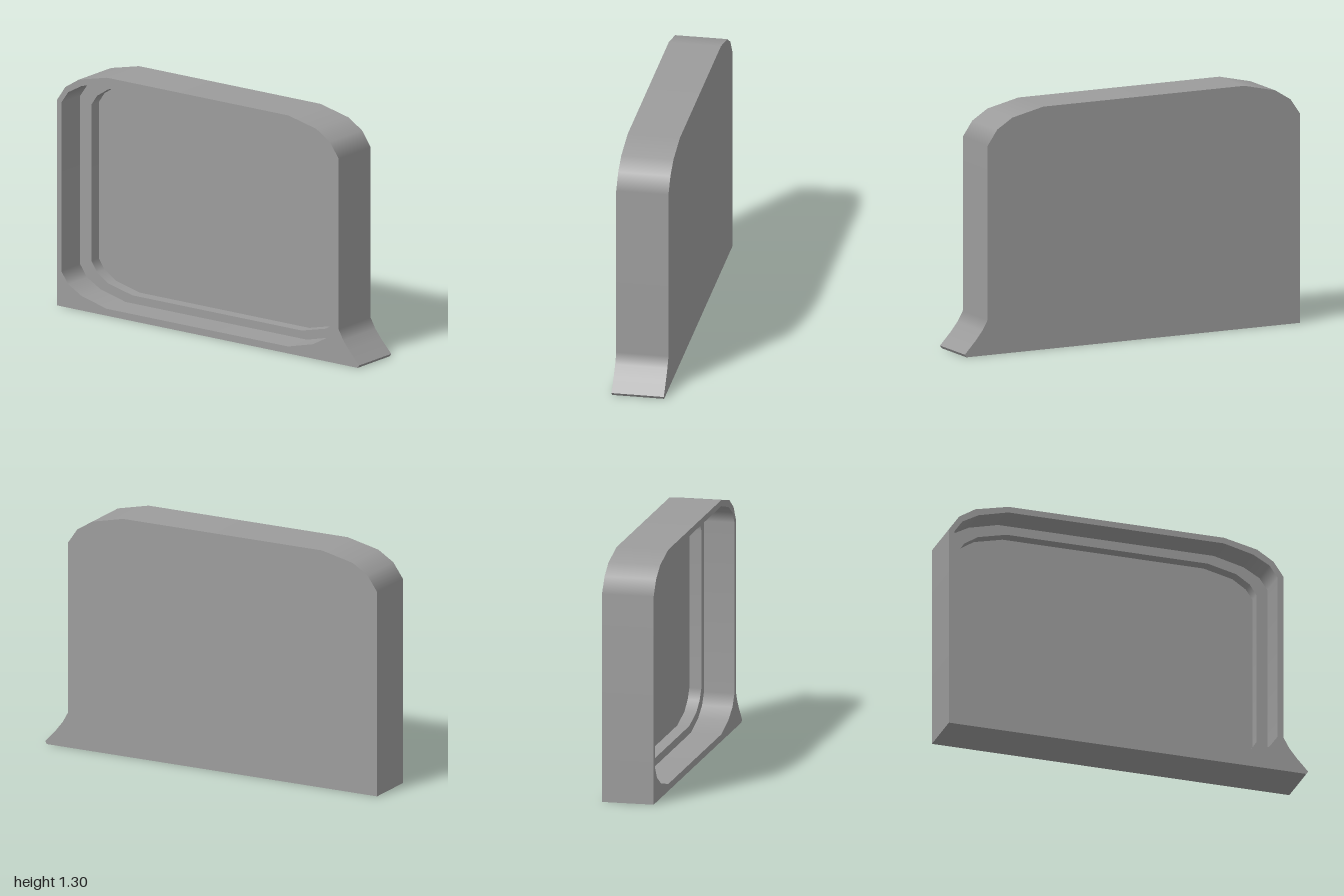
import * as THREE from 'three';

const FRONT = 0.14, LEDGE = -0.025, FLOOR = -0.09, BACK = -0.14;
const CX = -0.068; // centre line of the rounded body

const material = new THREE.MeshStandardMaterial({ color: 0x9c9c9c });
const v = ([x, y]) => new THREE.Vector2(x, y);

// Outline with four faceted corners, counter-clockwise, mirrored from its top right corner
function roundedOutline(corner, cx, cy) {
  const flip = (sx, sy) => corner.map(([x, y]) => [cx + sx * x, cy + sy * y]);
  return [
    ...flip(1, 1),
    ...flip(-1, 1).reverse(),
    ...flip(-1, -1),
    ...flip(1, -1).reverse(),
  ].map(v);
}

// Strip of wall along a closed outline; inward walls face the middle.
// Gentle bends are smooth, with long sides weighing more so they stay flat.
function wall(outline, z0, z1, inward) {
  const points = inward ? [...outline].reverse() : outline;
  const n = points.length;
  const sides = points.map((a, i) => {
    const b = points[(i + 1) % n];
    return new THREE.Vector2(b.y - a.y, a.x - b.x); // outward, as long as the side
  });
  const blend = (own, other) => {
    const smooth = own.angleTo(other) < 0.65;
    return (smooth ? own.clone().add(other) : own.clone()).normalize();
  };
  const pos = [], nor = [];
  points.forEach((p, i) => {
    const q = points[(i + 1) % n];
    const np = blend(sides[i], sides[(i + n - 1) % n]);
    const nq = blend(sides[i], sides[(i + 1) % n]);
    const corners = [[p, np, z0], [q, nq, z0], [q, nq, z1], [p, np, z0], [q, nq, z1], [p, np, z1]];
    for (const [point, normal, z] of corners) {
      pos.push(point.x, point.y, z);
      nor.push(normal.x, normal.y, 0);
    }
  });
  const geo = new THREE.BufferGeometry();
  geo.setAttribute('position', new THREE.Float32BufferAttribute(pos, 3));
  geo.setAttribute('normal', new THREE.Float32BufferAttribute(nor, 3));
  return geo;
}

// Flat face facing +z, optionally with an opening
function face(points, z, hole) {
  const shape = new THREE.Shape(points);
  if (hole) shape.holes.push(new THREE.Path(hole));
  return new THREE.ShapeGeometry(shape).translate(0, 0, z);
}

export function createModel() {
  const group = new THREE.Group();
  const add = (name, geo) => {
    const mesh = new THREE.Mesh(geo, material);
    mesh.name = name;
    group.add(mesh);
  };

  // Rounded top, square bottom corner on the right, flared tail on the left
  const topCorner = [[0.932, 1.125], [0.875, 1.207], [0.785, 1.263], [0.6, 1.305]];
  const outer = [
    [-1, 0], [0.99, 0], [1, 0.015], [0.935, 0.085], [0.895, 0.135], [0.864, 0.19],
    ...topCorner.map(([x, y]) => [CX + x, y]),
    ...topCorner.map(([x, y]) => [CX - x, y]).reverse(),
  ].map(v);

  const opening = roundedOutline(
    [[0.9, 0.462], [0.855, 0.526], [0.765, 0.576], [0.6, 0.617]], -0.07, 0.655);
  const inset = roundedOutline(
    [[0.832, 0.428], [0.795, 0.483], [0.72, 0.532], [0.56, 0.57]], -0.064, 0.652);

  // Outer shell
  add('outerWall', wall(outer, BACK, FRONT, false));
  add('frontRim', face(outer, FRONT, opening));
  const mirrored = outer.map((p) => new THREE.Vector2(-p.x, p.y)).reverse();
  add('backPanel', face(mirrored, -BACK).rotateY(Math.PI));

  // Stepped recess
  add('recessWall', wall(opening, LEDGE, FRONT, true));
  add('recessLedge', face(opening, LEDGE, inset));
  add('insetWall', wall(inset, FLOOR, LEDGE, true));
  add('recessFloor', face(inset, FLOOR));

  return group;
}
